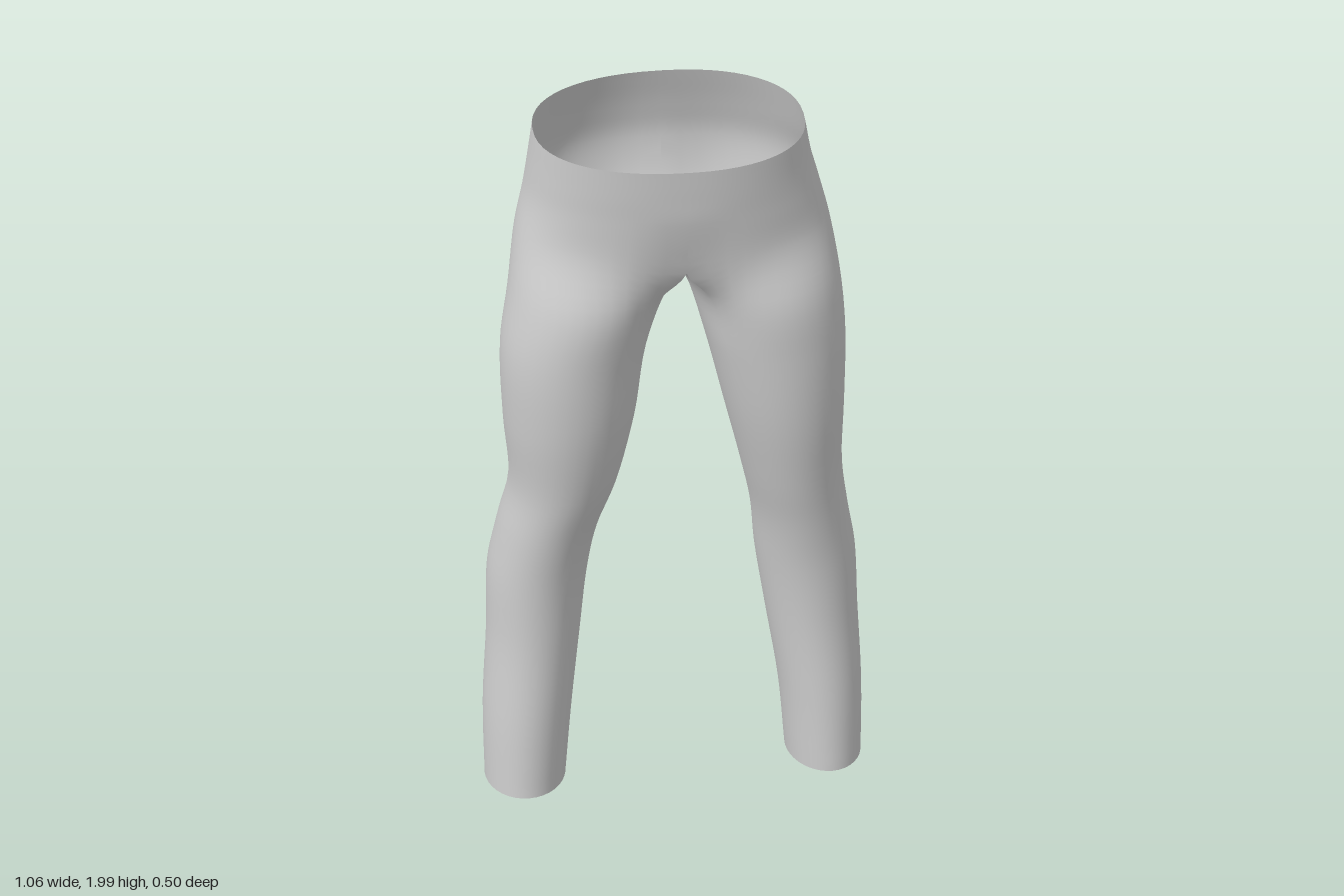
import * as THREE from 'three';
import { mergeVertices } from 'three/addons/utils/BufferGeometryUtils.js';

// Hip sections: y, outer x (left, right), front z, back z, forward tilt, centre dent front, back, centre drop
const HIPS = [
  [1.97, 0.31, 0.345, 0.255, -0.207, 0.13, 0, 0, 0],
  [1.88, 0.33, 0.357, 0.25, -0.24, 0.06, 0, 0.006, 0],
  [1.8, 0.355, 0.37, 0.243, -0.257, 0.02, 0, 0.012, 0],
  [1.7, 0.383, 0.395, 0.236, -0.235, 0, 0.03, 0.03, 0.05],
];
// Leg sections: y, inner and outer x (left), inner and outer x (right), front z, back z
const LEGS = [
  [1.55, 0.025, 0.41, 0.025, 0.42, 0.24, -0.17],
  [1.4, 0.07, 0.425, 0.08, 0.445, 0.24, -0.145],
  [1.2, 0.12, 0.43, 0.11, 0.445, 0.225, -0.135],
  [1.0, 0.17, 0.435, 0.155, 0.436, 0.19, -0.137],
  [0.85, 0.203, 0.46, 0.205, 0.47, 0.16, -0.155],
  [0.7, 0.22, 0.49, 0.233, 0.5, 0.14, -0.172],
  [0.5, 0.252, 0.505, 0.257, 0.51, 0.135, -0.166],
  [0.25, 0.293, 0.523, 0.287, 0.53, 0.15, -0.157],
  [0.022, 0.315, 0.527, 0.31, 0.535, 0.16, -0.14],
];
const OUTER = 28, INNER = 12, STEPS = 5;
const CORNER = THREE.MathUtils.degToRad(50);
const spow = (v, p) => Math.sign(v) * Math.abs(v) ** p;

function hipPoint(row, t, side) {
  const [y, xl, xr, zf, zb, tilt, dentF, dentB, drop] = row;
  const s = Math.max(0, Math.sin(t)), c = Math.cos(t);
  const x = t === 0 || t === Math.PI ? 0 : (side > 0 ? xl : xr) * s ** 0.9;
  let z = (zf + zb) / 2 + (zf - zb) / 2 * spow(c, 0.88);
  const centre = Math.exp(-((x / 0.09) ** 2));
  z += centre * (c > 0 ? -dentF : dentB);
  return new THREE.Vector3(x, y - tilt * (z - 0.02) - drop * Math.exp(-((x / 0.15) ** 2)), z);
}

function legPoint(row, a, side, hem) {
  const [y, il, ol, ir, or, zf, zb] = row;
  const [xi, xo] = side > 0 ? [il, ol] : [ir, or];
  return new THREE.Vector3(
    (xi + xo) / 2 + (xo - xi) / 2 * Math.sin(a),
    y + (hem ? 0.016 * Math.cos(a) : 0),
    (zf + zb) / 2 + (zf - zb) / 2 * Math.cos(a));
}

// Smooth column of points through its control points, beginning at control point "from"
function sampleColumn(points, from) {
  const curve = new THREE.CatmullRomCurve3(points);
  const n = (points.length - 1) * STEPS, out = [];
  for (let i = from * STEPS; i <= n; i++) out.push(curve.getPoint(i / n));
  return out;
}

function addHalf(side, positions) {
  const legColumn = a => LEGS.map((row, i) => legPoint(row, a, side, i === LEGS.length - 1));
  const junction = HIPS[HIPS.length - 1];

  // Outer columns run from waist to hem
  const outer = [];
  for (let j = 0; j <= OUTER; j++) {
    const f = j / OUTER, t = Math.PI * f;
    const a = -CORNER + (Math.PI + 2 * CORNER) * f;
    const col = sampleColumn([...HIPS.map(r => hipPoint(r, t, side)), ...legColumn(a)], 0);
    const seam = (HIPS.length - 1) * STEPS;
    col.forEach((p, i) => {
      if (i <= seam && (j === 0 || j === OUTER)) p.x = 0;
      p.x = Math.max(0, p.x);
    });
    outer.push(col);
  }

  // Inner columns run from the crotch seam to the hem
  const back = hipPoint(junction, Math.PI, side), front = hipPoint(junction, 0, side);
  const seam = (HIPS.length - 1) * STEPS;
  const inner = [outer[OUTER].slice(seam)];
  for (let k = 1; k < INNER; k++) {
    const f = k / INNER, u = Math.cos(Math.PI * f);
    const a = Math.PI + CORNER + (Math.PI - 2 * CORNER) * f;
    const start = new THREE.Vector3(0, 1.588 + (front.y - 1.588) * u * u,
      (front.z + back.z) / 2 - (front.z - back.z) / 2 * u);
    const leg = legColumn(a);
    const mirrored = leg[0].clone().setX(-leg[0].x);
    const col = sampleColumn([mirrored, start, ...leg], 1);
    col[0].x = 0;
    inner.push(col);
  }
  inner.push(outer[0].slice(seam));

  // Skin neighbouring columns
  const put = (...tri) => {
    if (side < 0) tri.reverse();
    tri.forEach(p => positions.push(side * p.x, p.y, p.z));
  };
  for (const cols of [outer, inner]) {
    for (let j = 0; j + 1 < cols.length; j++) {
      for (let i = 0; i + 1 < cols[j].length; i++) {
        const a = cols[j][i], b = cols[j][i + 1], c = cols[j + 1][i], d = cols[j + 1][i + 1];
        put(a, b, c);
        put(c, b, d);
      }
    }
  }
}

export function createModel() {
  const group = new THREE.Group();
  group.name = 'trousers';
  const cloth = new THREE.MeshStandardMaterial({ color: 0xcccccc, side: THREE.DoubleSide });
  cloth.name = 'light grey cloth';

  const positions = [];
  addHalf(1, positions);
  addHalf(-1, positions);
  let geometry = new THREE.BufferGeometry();
  geometry.setAttribute('position', new THREE.Float32BufferAttribute(positions, 3));
  geometry = mergeVertices(geometry, 1e-4);
  geometry.computeVertexNormals();

  const mesh = new THREE.Mesh(geometry, cloth);
  mesh.name = 'trouserShell';
  group.add(mesh);
  return group;
}
